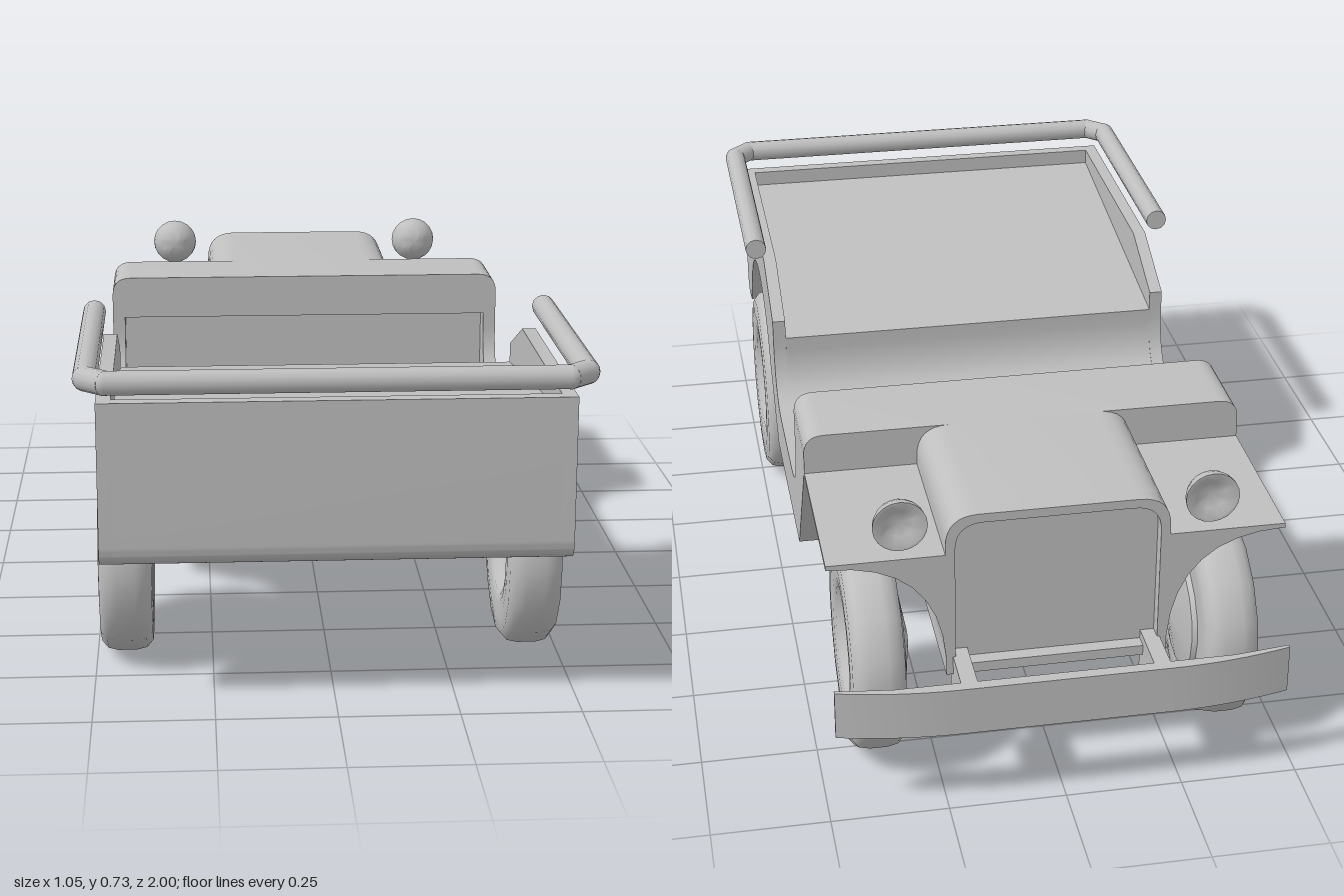
import * as THREE from 'three';
import { toCreasedNormals } from 'three/addons/utils/BufferGeometryUtils.js';

export function createModel() {
  const car = new THREE.Group();
  car.name = 'openUtilityCar';
  const grey = new THREE.MeshStandardMaterial({ color: 0xbfbfbf });
  grey.name = 'bodyGrey';

  const add = (name, geo, x = 0, y = 0, z = 0) => {
    const mesh = new THREE.Mesh(geo, grey);
    mesh.name = name;
    mesh.position.set(x, y, z);
    car.add(mesh);
    return mesh;
  };
  const crease = (geo, angle = 0.6) => toCreasedNormals(geo, angle);
  // Extrude a (z, y) profile across x, centred on x = 0
  const acrossX = (shape, width) => {
    const g = new THREE.ExtrudeGeometry(shape, { depth: width, bevelEnabled: false, curveSegments: 16 });
    return crease(g.translate(0, 0, -width / 2).rotateY(-Math.PI / 2));
  };
  // Extrude an (x, y) profile along z
  const alongZ = (shape, z0, z1) => {
    const g = new THREE.ExtrudeGeometry(shape, { depth: z1 - z0, bevelEnabled: false, curveSegments: 8 });
    return crease(g.translate(0, 0, z0));
  };
  // Box section with rounded upper corners
  const roundedTop = (w, y0, y1, r) => {
    const s = new THREE.Shape();
    s.moveTo(-w, y0).lineTo(w, y0).lineTo(w, y1 - r).quadraticCurveTo(w, y1, w - r, y1);
    s.lineTo(-w + r, y1).quadraticCurveTo(-w, y1, -w, y1 - r).lineTo(-w, y0);
    return s;
  };

  // Underside, rear wheel arch and tail, shared by the tub and the side panels
  const lowerEdge = (s) => {
    s.moveTo(-0.49, 0.545).lineTo(-0.3, 0.257).lineTo(0.17, 0.257);
    s.absarc(0.56, 0.255, 0.29, Math.PI * 5 / 6, Math.PI / 6, true);
    s.lineTo(0.87, 0.317).lineTo(0.92, 0.313);
    s.quadraticCurveTo(0.96, 0.315, 0.96, 0.36).lineTo(0.96, 0.658);
    return s;
  };

  // Tub: sloping bed floor, seat riser, cabin floor, firewall
  const tub = lowerEdge(new THREE.Shape());
  tub.lineTo(0.93, 0.658).lineTo(0.93, 0.622).lineTo(0.183, 0.535).lineTo(0.183, 0.5);
  tub.quadraticCurveTo(0.175, 0.38, 0.05, 0.38);
  tub.lineTo(-0.355, 0.38).lineTo(-0.355, 0.545).lineTo(-0.49, 0.545);
  add('tub', acrossX(tub, 0.9));

  // Side panels with the cut-away door
  const side = lowerEdge(new THREE.Shape());
  side.lineTo(0.37, 0.658).lineTo(0.185, 0.58).lineTo(0.185, 0.51);
  side.quadraticCurveTo(0.175, 0.38, 0.05, 0.38).lineTo(-0.18, 0.38);
  side.quadraticCurveTo(-0.3, 0.385, -0.3, 0.51).lineTo(-0.3, 0.545).lineTo(-0.49, 0.545);
  const sideGeo = acrossX(side, 0.03);
  for (const s of [-1, 1]) add(s > 0 ? 'leftSidePanel' : 'rightSidePanel', sideGeo, s * 0.465);

  // Cowl, hood and recessed grille
  add('cowl', alongZ(roundedTop(0.48, 0.54, 0.64, 0.045), -0.5, -0.3));
  add('hood', alongZ(roundedTop(0.235, 0.257, 0.64, 0.07), -0.85, -0.36));
  const frame = roundedTop(0.235, 0.257, 0.64, 0.07);
  frame.holes.push(new THREE.Path(roundedTop(0.215, 0.28, 0.62, 0.06).getPoints(8)));
  add('grilleFrame', alongZ(frame, -0.88, -0.85));

  // Front fenders flaring out of the hood sides
  for (const s of [-1, 1]) {
    const f = new THREE.Shape();
    f.moveTo(s * 0.23, 0.55).lineTo(s * 0.48, 0.55).lineTo(s * 0.48, 0.54);
    f.quadraticCurveTo(s * 0.25, 0.54, s * 0.235, 0.3).lineTo(s * 0.23, 0.3);
    add(s > 0 ? 'leftFender' : 'rightFender', alongZ(f, -0.88, -0.49));
    // Wheel well wall running back under the sloping panel
    const w = new THREE.Shape();
    w.moveTo(s * 0.23, 0.54).lineTo(s * 0.45, 0.535);
    w.quadraticCurveTo(s * 0.25, 0.53, s * 0.235, 0.3).lineTo(s * 0.23, 0.3);
    add(s > 0 ? 'leftWheelWell' : 'rightWheelWell', alongZ(w, -0.49, -0.36));
  }

  // Headlights: dome behind, shallow dish in front
  const lamp = [[0, 0.02], [0.03, 0.012], [0.05, 0]];
  for (let i = 0; i <= 6; i++) {
    const a = (i / 6) * Math.PI / 2;
    lamp.push([0.057 * Math.cos(a), 0.057 * Math.sin(a)]);
  }
  const toPoints = (list) => list.map(([r, h]) => new THREE.Vector2(r, h));
  const lampGeo = crease(new THREE.LatheGeometry(toPoints(lamp), 20).rotateX(Math.PI / 2), 0.7);
  for (const s of [-1, 1]) add(s > 0 ? 'leftHeadlight' : 'rightHeadlight', lampGeo, s * 0.325, 0.62, -0.868);

  // Wheels: tyre, dished hub and centre nub
  const wheelGeo = (bulge) => {
    const inner = bulge
      ? [[0, -0.088], [0.02, -0.086], [0.125, -0.067], [0.13, -0.056]]
      : [[0, -0.036], [0.02, -0.016], [0.08, -0.02], [0.115, -0.035], [0.125, -0.052]];
    const outer = [[0.125, 0.052], [0.115, 0.035], [0.08, 0.02], [0.02, 0.016], [0, 0.036]];
    const tyre = [[0.145, -0.056], [0.175, -0.0575], [0.21, -0.0555], [0.226, -0.042], [0.231, -0.02],
      [0.231, 0.02], [0.226, 0.042], [0.21, 0.0555], [0.175, 0.0575], [0.145, 0.056]];
    return crease(new THREE.LatheGeometry(toPoints([...inner, ...tyre, ...outer]), 16), 0.9);
  };
  const wheels = [['front', 0.3775, -0.692, wheelGeo(true)], ['rear', 0.434, 0.556, wheelGeo(false)]];
  for (const [end, x, z, geo] of wheels) {
    for (const s of [-1, 1]) {
      const w = add(end + (s > 0 ? 'LeftWheel' : 'RightWheel'), geo, s * x, 0.233, z);
      w.rotation.z = -s * Math.PI / 2;
    }
  }

  // Front bumper with swept tips, on two brackets
  const b = new THREE.Shape();
  b.moveTo(-0.48, 0.96).lineTo(-0.36, 0.975).lineTo(0.36, 0.975).lineTo(0.48, 0.96);
  b.lineTo(0.48, 0.968).quadraticCurveTo(0.35, 1, 0.22, 1).lineTo(-0.22, 1);
  b.quadraticCurveTo(-0.35, 1, -0.48, 0.968).lineTo(-0.48, 0.96);
  const bumper = new THREE.ExtrudeGeometry(b, { depth: 0.11, bevelEnabled: false, curveSegments: 8 });
  add('frontBumper', crease(bumper.rotateX(-Math.PI / 2)), 0, 0.19, 0);
  for (const s of [-1, 1]) {
    add('bumperBracket', new THREE.BoxGeometry(0.035, 0.11, 0.13), s * 0.203, 0.245, -0.915);
  }

  // Rail around the bed, with cut corners
  const path = [[-0.5, 0.34], [-0.5, 0.935], [-0.46, 0.973], [0.46, 0.973], [0.5, 0.935], [0.5, 0.34]]
    .map(([x, z]) => new THREE.Vector3(x, 0.703, z));
  const up = new THREE.Vector3(0, 1, 0);
  for (let i = 0; i < path.length - 1; i++) {
    const d = path[i + 1].clone().sub(path[i]);
    const bar = add('bedRail', new THREE.CylinderGeometry(0.025, 0.025, d.length(), 12));
    bar.position.copy(path[i]).addScaledVector(d, 0.5);
    bar.quaternion.setFromUnitVectors(up, d.normalize());
    if (i > 0) add('bedRailJoint', new THREE.SphereGeometry(0.025, 12, 8)).position.copy(path[i]);
  }
  return car;
}
